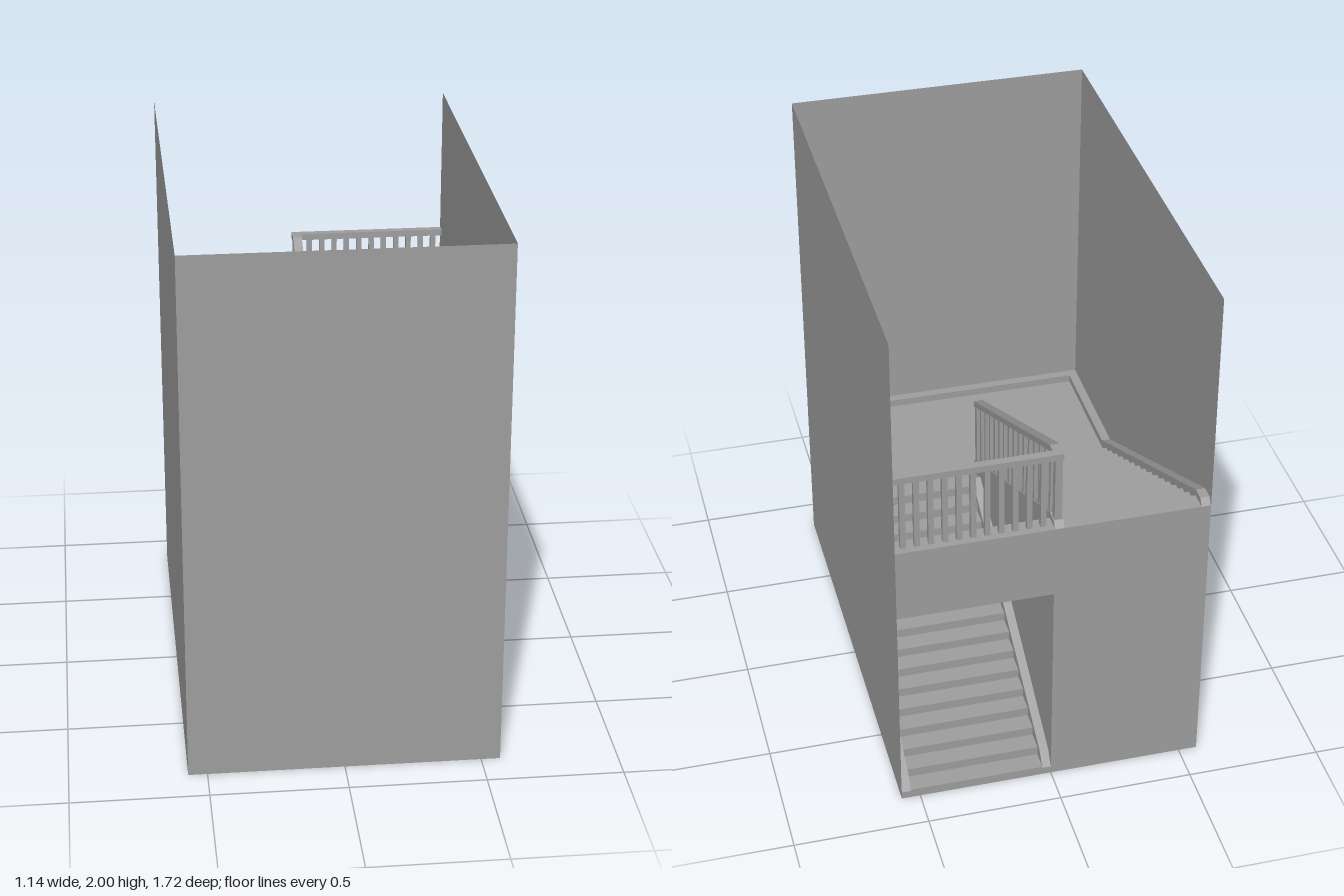
import * as THREE from 'three';

const W = 0.57, D = 0.86, H = 2;          // half width, half depth, wall height
const STEPS = 16, RISE = 1.143 / 32, RUN = 0.0713;
const MID = RISE * STEPS, TOP = RISE * 32; // landing and upper floor levels
const SLOPE = RISE / RUN, LIP = 0.025, T = 0.035;

export function createModel() {
  const model = new THREE.Group();
  model.name = 'stairwell';
  const grey = new THREE.MeshStandardMaterial({ color: 0xa0a0a0, side: THREE.DoubleSide });
  grey.name = 'plain grey';

  const add = (name, geometry, parent = model) => {
    const mesh = new THREE.Mesh(geometry, grey);
    mesh.name = name;
    parent.add(mesh);
    return mesh;
  };
  // box given by its limits
  const block = (name, x0, x1, y0, y1, z0, z1, parent) => add(name,
    new THREE.BoxGeometry(x1 - x0, y1 - y0, z1 - z0)
      .translate((x0 + x1) / 2, (y0 + y1) / 2, (z0 + z1) / 2), parent);
  // side profile of [z, y] points, extruded from x0 to x1
  const slab = (name, points, x0, x1, parent) => {
    const shape = new THREE.Shape(points.map(([z, y]) => new THREE.Vector2(z, y)));
    const g = new THREE.ExtrudeGeometry(shape, { depth: x1 - x0, bevelEnabled: false });
    return add(name, g.rotateY(-Math.PI / 2).translate(x1, 0, 0), parent);
  };
  const group = (name) => {
    const g = new THREE.Group();
    g.name = name;
    model.add(g);
    return g;
  };

  // thin outer walls
  for (const s of [-1, 1]) {
    add(s > 0 ? 'leftWall' : 'rightWall',
      new THREE.PlaneGeometry(2 * D, H).rotateY(s * Math.PI / 2).translate(s * W, H / 2, 0));
  }
  add('frontWall', new THREE.PlaneGeometry(2 * W, H).translate(0, H / 2, D));

  // back wall with the doorway to the lower flight
  const back = new THREE.Shape([[-W, 0], [0, 0], [0, 0.855], [W, 0.855], [W, TOP], [-W, TOP]]
    .map(([x, y]) => new THREE.Vector2(x, y)));
  add('backWall', new THREE.ExtrudeGeometry(back, { depth: 0.07, bevelEnabled: false }).translate(0, 0, -D));

  // nosing lines of the two flights
  const lowZ = -D, highZ = 0.28;
  const lowLine = (z) => RISE + SLOPE * (z - lowZ);
  const highLine = (z) => MID + RISE + SLOPE * (highZ - z);

  // stepped flights made of thin risers and treads
  const flight = (name, x0, x1, zStart, yStart, dir) => {
    const g = group(name), t = 0.004;
    for (let i = 0; i < STEPS; i++) {
      const z = zStart + dir * RUN * i, y = yStart + RISE * i;
      block('riser', x0, x1, y, y + RISE, Math.min(z, z + dir * t), Math.max(z, z + dir * t), g);
      if (i < STEPS - 1) {
        const z2 = z + dir * RUN;
        block('tread', x0, x1, y + RISE - t, y + RISE, Math.min(z, z2), Math.max(z, z2), g);
      }
    }
  };
  flight('lowerFlight', 0.033, W - T, lowZ, 0, 1);
  flight('upperFlight', T - W, -T, highZ, MID, -1);

  // landing between the flights
  block('landing', T - W, W - T, MID - 0.006, MID, highZ, D - T);
  block('landingEdge', 0, W - T, MID - 0.006, MID, lowZ + RUN * (STEPS - 1), highZ);

  // stringers standing on the floor along the walls
  const skirt = MID + 0.03;
  const lowEnd = lowZ + (skirt - LIP - RISE) / SLOPE;
  const highEnd = highZ + (MID + RISE + LIP - skirt) / SLOPE;
  slab('leftStringer', [[-D, 0], [D, 0], [D, skirt], [lowEnd, skirt],
    [-D + 0.04, lowLine(-D + 0.04) + LIP], [-D, 0.03]], W - T, W - 0.001);
  slab('rightStringer', [[-D, 0], [D, 0], [D, skirt], [highEnd, skirt],
    [-0.79, TOP + LIP], [-D + 0.02, TOP + LIP], [-D, TOP]], 0.001 - W, T - W);
  slab('innerStringer', [[-D, 0], [highZ, 0], [highZ, MID], [lowEnd, skirt],
    [-D + 0.04, lowLine(-D + 0.04) + LIP], [-D, 0.03]], 0, 0.033);
  block('frontSkirting', T - W, W - T, 0, skirt, D - T, D - 0.001);

  // solid wall between the flights
  slab('centreWall', [[-D + 0.001, 0], [0.32, 0], [0.32, highLine(0.32) + LIP],
    [-0.79, TOP + LIP], [-D + 0.02, TOP + LIP], [-D + 0.001, TOP]], -T, 0);

  // sloping railing on the centre wall
  const slopeRail = group('slopingRailing'), up = 0.31, thick = 0.025;
  const flatTop = 1.446, bend = highZ - (flatTop - up - MID - RISE) / SLOPE;
  slab('handrail', [[0.32, highLine(0.32) + up], [bend, flatTop], [-0.84, flatTop],
    [-0.84, flatTop - thick], [bend, flatTop - thick], [0.32, highLine(0.32) + up - thick]], -T, 0, slopeRail);
  for (let i = 0; i < STEPS - 1; i++) {
    const z = highZ - RUN * (i + 0.5), y = highLine(z);
    block('baluster', -0.027, -0.008, y, Math.min(y + up, flatTop) - 0.012, z - 0.01, z + 0.01, slopeRail);
  }
  block('lowerPost', -0.031, -0.004, MID, highLine(0.305) + up - 0.012, 0.291, 0.318, slopeRail);
  block('cornerPost', -0.031, -0.004, TOP, flatTop - 0.01, -0.838, -0.811, slopeRail);

  // level railing above the doorway
  const backRail = group('levelRailing');
  block('handrail', -T, W - 0.001, flatTop - thick, flatTop, -0.84, -0.81, backRail);
  for (let i = 0; i < 11; i++) {
    const x = 0.035 + i * 0.05;
    block('baluster', x - 0.01, x + 0.01, TOP, flatTop - 0.01, -0.835, -0.815, backRail);
  }
  return model;
}
